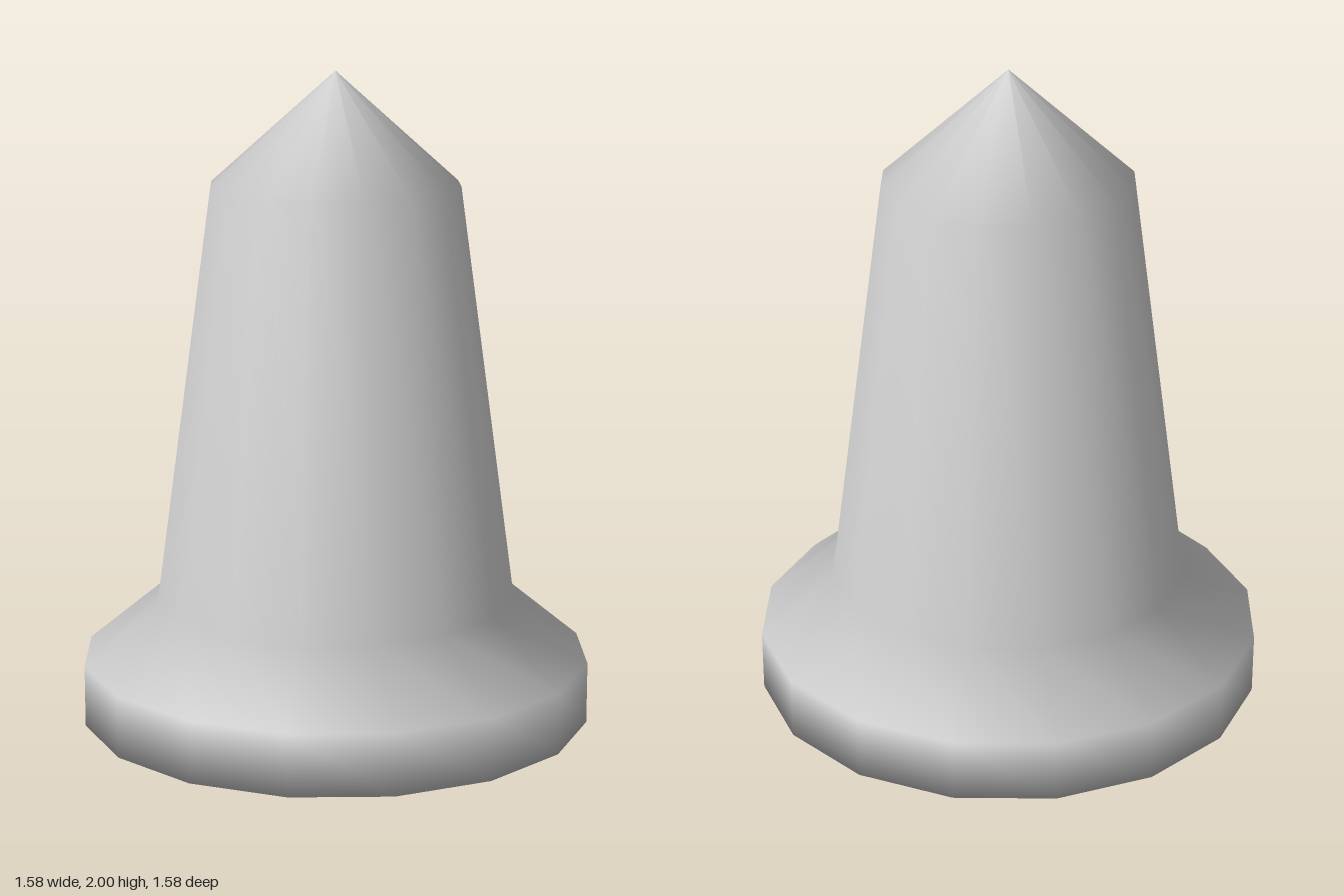
import * as THREE from 'three';

export function createModel() {
  const group = new THREE.Group();
  group.name = 'bollard';

  const grey = new THREE.MeshStandardMaterial({ color: 0xcccccc });
  grey.name = 'light grey';

  // One smooth turned body: flat underside, rim, flange, tapered shaft, pointed cap
  const profile = [
    [0, 0],
    [0.79, 0],
    [0.79, 0.19],
    [0.56, 0.38],
    [0.383, 1.66],
    [0, 2],
  ].map(([r, y]) => new THREE.Vector2(r, y));

  const body = new THREE.Mesh(new THREE.LatheGeometry(profile, 16), grey);
  body.name = 'turnedBody';
  group.add(body);
  return group;
}
